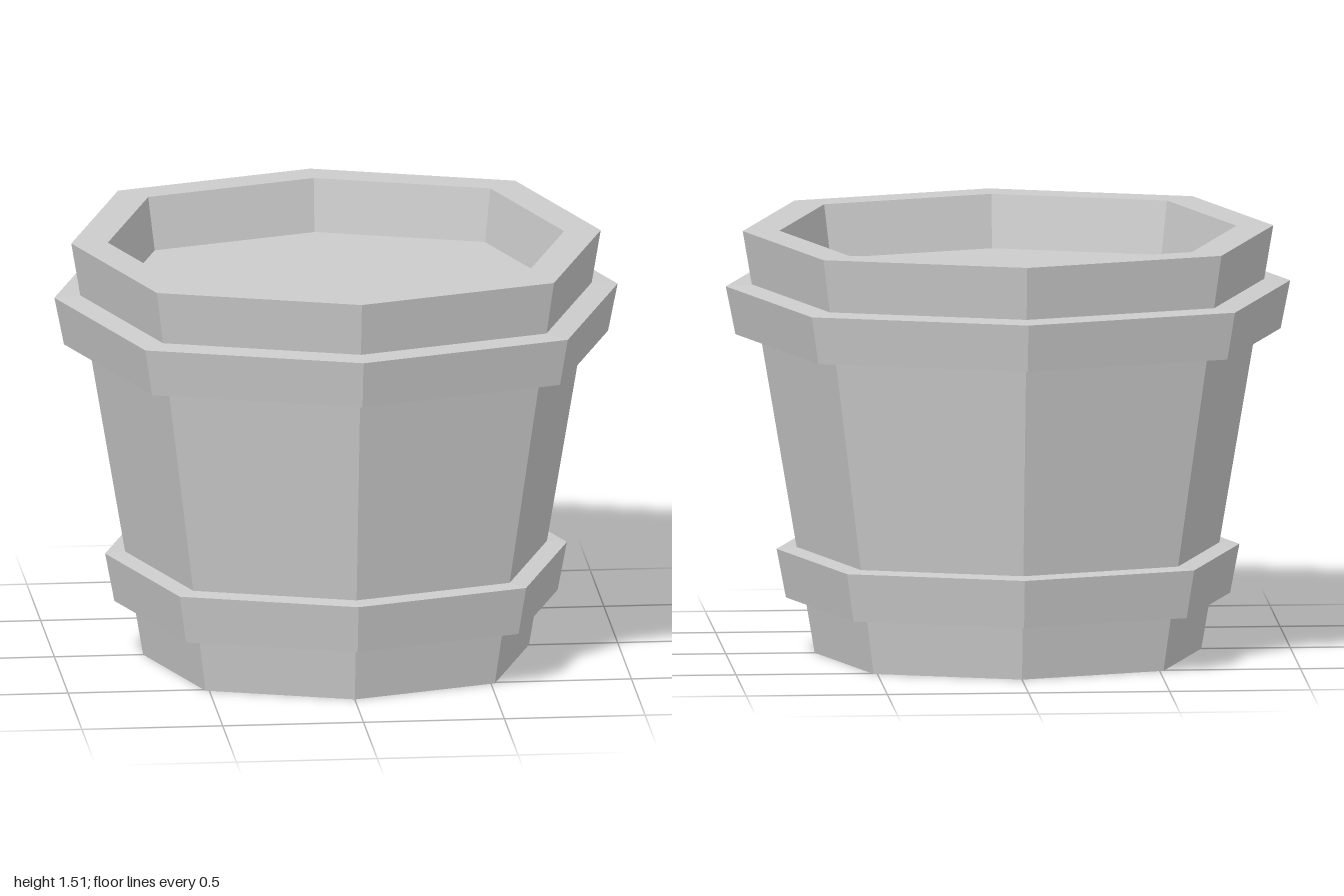
import * as THREE from 'three';

const material = new THREE.MeshStandardMaterial({ color: 0xcccccc, flatShading: true });

// Eight-sided ring from a [radius, height] profile; diagonal corners sit at 0.75 of the radius on x and z
function octagonLathe(name, profile) {
  const points = profile.map(([r, y]) => new THREE.Vector2(r, y));
  const geometry = new THREE.LatheGeometry(points, 8);
  const stretch = 0.75 / Math.SQRT1_2;
  const pos = geometry.attributes.position;
  for (let i = 0; i < pos.count; i++) {
    const corner = Math.floor(i / points.length);
    if (corner % 2 === 1) {
      pos.setX(i, pos.getX(i) * stretch);
      pos.setZ(i, pos.getZ(i) * stretch);
    }
  }
  geometry.computeVertexNormals();
  const mesh = new THREE.Mesh(geometry, material);
  mesh.name = name;
  return mesh;
}

export function createModel() {
  const group = new THREE.Group();
  group.name = 'tub';

  // Tapered body with closed base, rim and inner wall
  group.add(octagonLathe('body', [[0, 0], [0.685, 0], [0.94, 1.51], [0.81, 1.51], [0.782, 1.32]]));

  // Flat filling recessed below the rim
  group.add(octagonLathe('filling', [[0.782, 1.32], [0, 1.32]]));

  // Two hoops around the body
  group.add(octagonLathe('lowerHoop', [[0.71, 0.192], [0.787, 0.199], [0.82, 0.373], [0.74, 0.38]]));
  group.add(octagonLathe('upperHoop', [[0.87, 1.135], [0.966, 1.142], [1, 1.313], [0.9, 1.32]]));

  return group;
}
